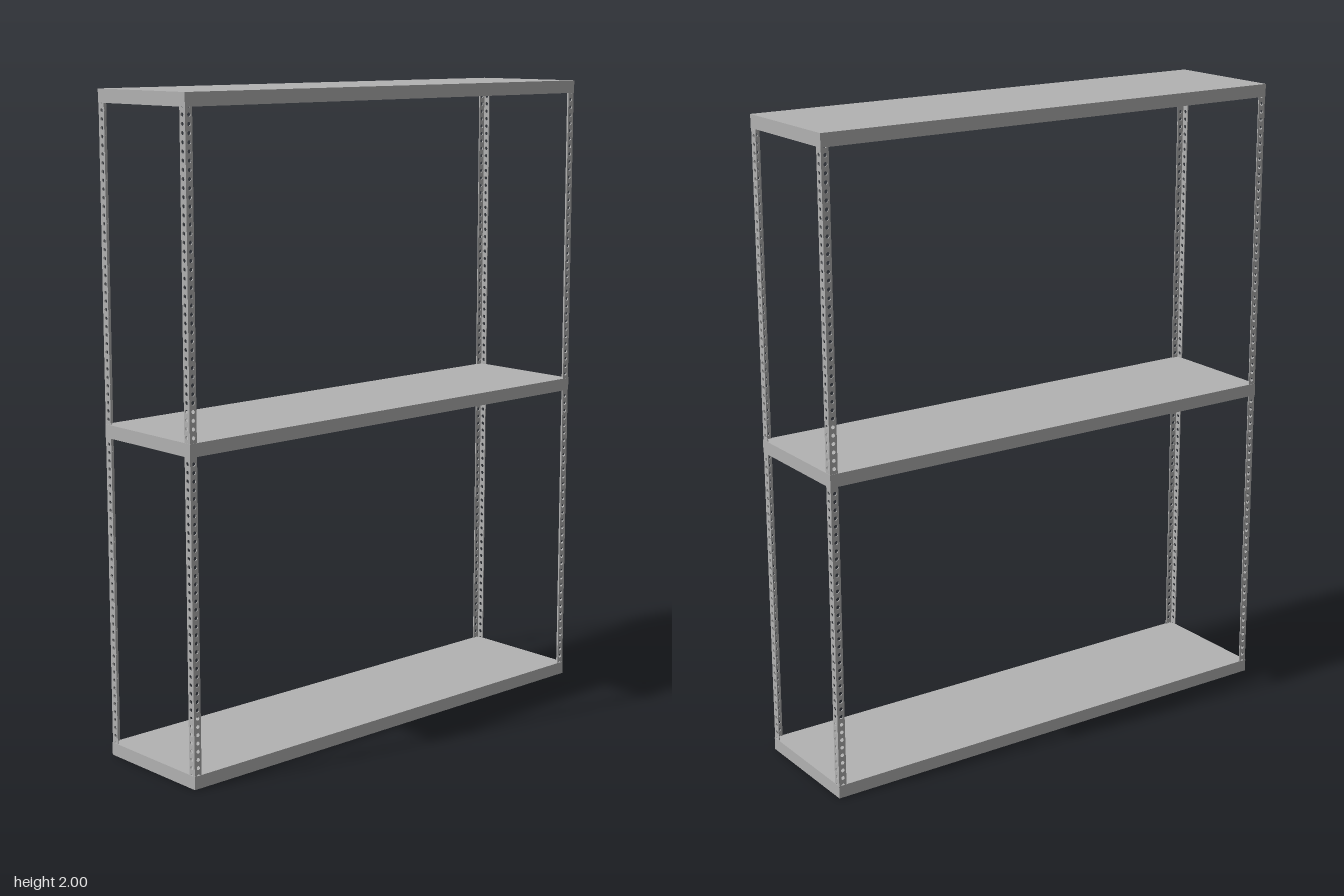
import * as THREE from 'three';

const W = 1.6, D = 0.4, H = 2;      // overall size
const TRAY_H = 0.04, SHEET = 0.003; // shelf height and sheet thickness
const FLANGE = 0.025;               // angle-post flange width

const steel = new THREE.MeshStandardMaterial({ color: 0xb2b2b2 });
steel.name = 'greySteel';

function box(name, w, h, d, x, y, z) {
  const mesh = new THREE.Mesh(new THREE.BoxGeometry(w, h, d), steel);
  mesh.name = name;
  mesh.position.set(x, y, z);
  return mesh;
}

// Long flat strip with a row of bolt holes
function perforatedStrip() {
  const height = H - 0.002, pitch = 0.025;
  const shape = new THREE.Shape();
  shape.moveTo(0, 0);
  shape.lineTo(FLANGE, 0);
  shape.lineTo(FLANGE, height);
  shape.lineTo(0, height);
  shape.closePath();
  for (let y = pitch / 2; y < height - 0.008; y += pitch) {
    const hole = new THREE.Path();
    hole.absarc(FLANGE * 0.54, y, 0.006, 0, Math.PI * 2, true);
    shape.holes.push(hole);
  }
  return new THREE.ExtrudeGeometry(shape, { depth: SHEET, bevelEnabled: false, curveSegments: 8 });
}

// L-shaped post: one flange faces front/back, the other faces sideways
function cornerPost(strip, sx, sz) {
  const post = new THREE.Group();
  post.name = (sz > 0 ? 'front' : 'back') + (sx > 0 ? 'Left' : 'Right') + 'Post';
  const along = new THREE.Mesh(strip, steel);
  along.name = 'faceFlange';
  along.position.set(0, 0, -SHEET);
  along.rotation.y = 0;
  const side = new THREE.Mesh(strip, steel);
  side.name = 'sideFlange';
  side.rotation.y = Math.PI / 2;
  side.position.set(0, 0, 0);
  post.add(along, side);
  // The base post is the front right corner; turn it to the other corners
  const turn = sz > 0 ? (sx < 0 ? 0 : 1) : (sx > 0 ? 2 : 3);
  post.rotation.y = turn * Math.PI / 2;
  post.position.set(sx * (W / 2 - 0.001), 0.001, sz * (D / 2 - 0.001));
  return post;
}

// Folded tray: deck, four rims and three cross supports beneath
function shelf(name, y0) {
  const tray = new THREE.Group();
  tray.name = name;
  const mid = TRAY_H / 2;
  tray.add(box('deck', W, SHEET, D, 0, TRAY_H - SHEET / 2, 0));
  for (const s of [-1, 1]) {
    tray.add(box(s > 0 ? 'frontRim' : 'backRim', W, TRAY_H - SHEET, SHEET,
      0, mid - SHEET / 2, s * (D - SHEET) / 2));
    tray.add(box(s > 0 ? 'leftRim' : 'rightRim', SHEET, TRAY_H - SHEET, D - 2 * SHEET,
      s * (W - SHEET) / 2, mid - SHEET / 2, 0));
  }
  for (const x of [-W / 4, 0, W / 4]) {
    tray.add(box('crossSupport', 0.012, 0.03, D - 2 * SHEET, x, TRAY_H - SHEET - 0.015, 0));
  }
  tray.position.y = y0;
  return tray;
}

export function createModel() {
  const model = new THREE.Group();
  model.name = 'shelvingUnit';
  model.add(shelf('bottomShelf', 0), shelf('middleShelf', (H - TRAY_H) / 2 + 0.003),
    shelf('topShelf', H - TRAY_H));
  const strip = perforatedStrip();
  for (const sx of [-1, 1]) for (const sz of [-1, 1]) model.add(cornerPost(strip, sx, sz));
  return model;
}
